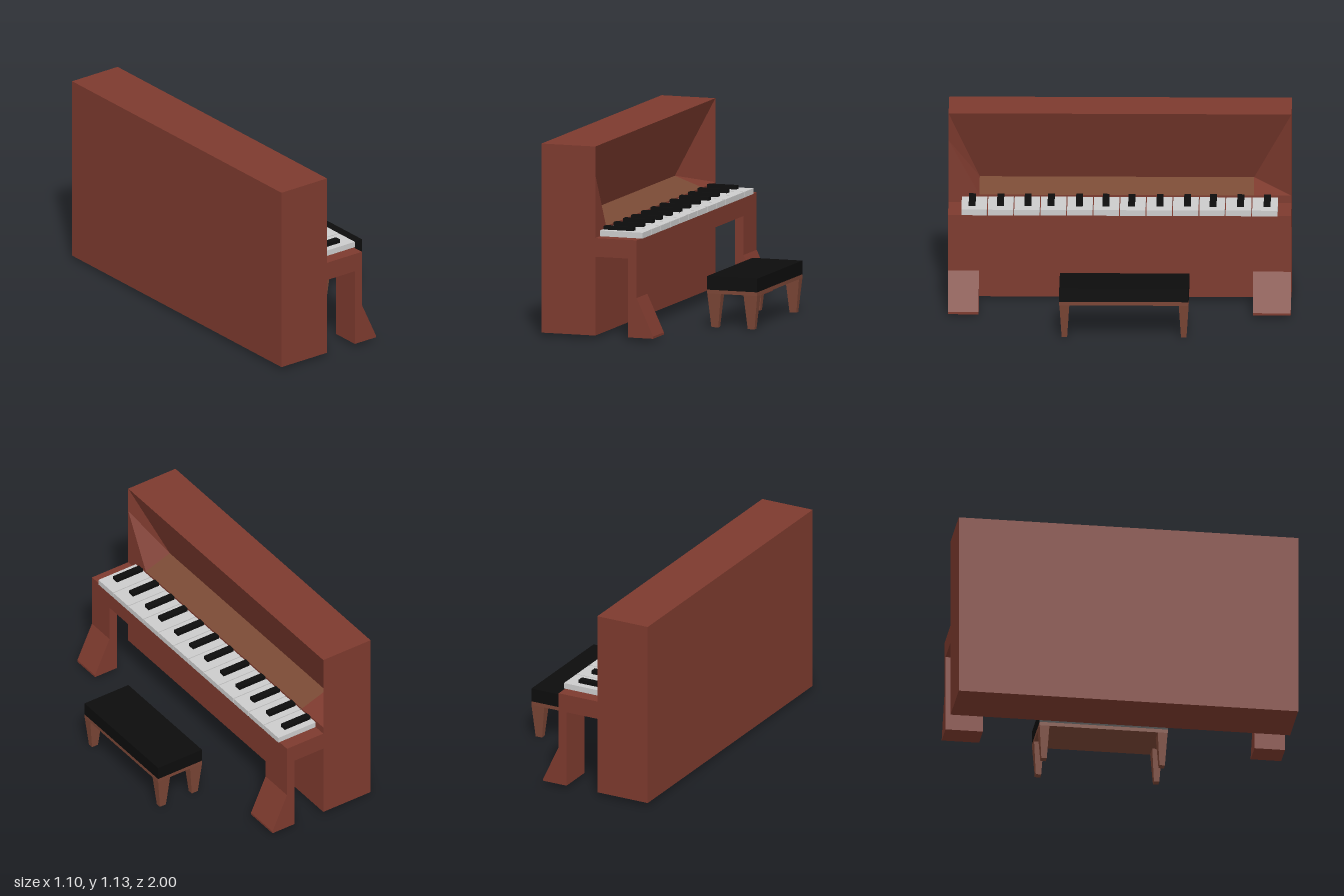
import * as THREE from 'three';

const mat = (color) => new THREE.MeshStandardMaterial({ color, flatShading: true });
const wood = mat(0x7d3a2e), floorWood = mat(0x7a4a35), benchWood = mat(0x7a4535);
const black = mat(0x0c0c0c), ivory = mat(0xcccccc);

function add(parent, name, geometry, material) {
  const m = new THREE.Mesh(geometry, material);
  m.name = name;
  parent.add(m);
  return m;
}

// box given by its extents on each axis
function box(parent, name, [x0, x1], [y0, y1], [z0, z1], material) {
  const m = add(parent, name, new THREE.BoxGeometry(x1 - x0, y1 - y0, z1 - z0), material);
  m.position.set((x0 + x1) / 2, (y0 + y1) / 2, (z0 + z1) / 2);
  return m;
}

// flat polygons, each a counter-clockwise loop of [x, y, z] corners
function faces(polygons) {
  const pos = [];
  for (const p of polygons)
    for (let i = 1; i < p.length - 1; i++) pos.push(...p[0], ...p[i], ...p[i + 1]);
  const g = new THREE.BufferGeometry();
  g.setAttribute('position', new THREE.Float32BufferAttribute(pos, 3));
  g.computeVertexNormals();
  return g;
}

// profile in x/y, extruded between two z values
function profile(points, z0, z1) {
  const shape = new THREE.Shape(points.map(([x, y]) => new THREE.Vector2(x, y)));
  return new THREE.ExtrudeGeometry(shape, { depth: z1 - z0, bevelEnabled: false }).translate(0, 0, z0);
}

const BACK = -0.55, FRONT = -0.215, DEEP = -0.385;
const BASE = 0.02, TOP = 1.135, SILL = 0.64, FOLD = 0.7, CHEEK = 0.97;
const INNER_L = 0.82, INNER_R = -0.78;

function buildCabinet(piano) {
  const F = (y, z) => [FRONT, y, z], B = (y, z) => [BACK, y, z], D = (z) => [DEEP, FOLD, z];
  add(piano, 'cabinet', faces([
    [B(BASE, -1), B(BASE, 1), B(TOP, 1), B(TOP, -1)],
    [B(TOP, 1), F(TOP, 1), F(TOP, -1), B(TOP, -1)],
    [B(BASE, -1), F(BASE, -1), F(BASE, 1), B(BASE, 1)],
    [B(BASE, 1), F(BASE, 1), F(TOP, 1), B(TOP, 1)],
    [F(BASE, -1), B(BASE, -1), B(TOP, -1), F(TOP, -1)],
    [F(BASE, 1), F(BASE, -1), F(SILL, -1), F(SILL, 1)],
  ]), wood);

  // overhanging panel sloping back to the fold, with its two corners
  add(piano, 'upperPanel', faces([
    [D(INNER_L), D(INNER_R), F(TOP, INNER_R), F(TOP, INNER_L)],
    [D(INNER_L), F(TOP, INNER_L), F(TOP, 1)],
    [D(INNER_L), F(TOP, 1), F(CHEEK, 1)],
    [D(INNER_R), F(TOP, -1), F(TOP, INNER_R)],
    [D(INNER_R), F(CHEEK, -1), F(TOP, -1)],
  ]), wood);

  // slanted cheeks beside the keyboard
  add(piano, 'cheeks', faces([
    [F(CHEEK, 1), F(SILL, INNER_L), D(INNER_L)],
    [F(CHEEK, 1), F(SILL, 1), F(SILL, INNER_L)],
    [F(CHEEK, -1), D(INNER_R), F(SILL, -1)],
    [D(INNER_R), F(SILL, INNER_R), F(SILL, -1)],
  ]), wood);

  // ledge rising behind the keys
  add(piano, 'keyLedge', faces([
    [F(SILL, INNER_L), F(SILL, INNER_R), D(INNER_R), D(INNER_L)],
  ]), floorWood);
}

function buildKeyboard(piano) {
  box(piano, 'keyBed', [FRONT, 0.042], [0.485, 0.595], [-1, 1], wood);
  const legShape = [[-0.01, BASE], [0.145, BASE], [0.145, 0.033], [0.042, 0.255], [0.042, 0.485], [-0.01, 0.485]];
  add(piano, 'leftLeg', profile(legShape, INNER_L, 1), wood);
  add(piano, 'rightLeg', profile(legShape, -1, INNER_R), wood);

  const sharps = [-0.86, -0.705, -0.545, -0.395, -0.235, -0.07, 0.08, 0.235, 0.4, 0.535, 0.695, 0.86];
  const pitch = 1.85 / sharps.length;
  sharps.forEach((z, i) => {
    const z0 = -0.925 + i * pitch;
    box(piano, 'whiteKey', [FRONT, 0.05], [0.595, 0.629], [z0 + 0.003, z0 + pitch - 0.003], ivory);
    box(piano, 'blackKey', [-0.208, -0.025], [0.625, 0.65], [z - 0.02, z + 0.02], black);
  });
}

function buildBench() {
  const bench = new THREE.Group();
  bench.name = 'bench';
  const xs = [0.237, 0.548], zs = [-0.41, 0.345];
  box(bench, 'cushion', xs, [0.222, 0.302], zs, black);
  box(bench, 'benchFrame', xs, [0.2, 0.222], zs, benchWood);
  // square legs narrowing to the floor
  for (const x of [0.279, 0.505])
    for (const z of [-0.381, 0.315]) {
      const g = new THREE.BoxGeometry(0.085, 0.2, 0.058);
      const p = g.attributes.position;
      for (let i = 0; i < p.count; i++)
        if (p.getY(i) < 0) p.setXYZ(i, p.getX(i) * 0.5, p.getY(i), p.getZ(i) * 0.55);
      g.computeVertexNormals();
      add(bench, 'benchLeg', g, benchWood).position.set(x, 0.1, z);
    }
  return bench;
}

export function createModel() {
  const model = new THREE.Group();
  const piano = new THREE.Group();
  piano.name = 'piano';
  buildCabinet(piano);
  buildKeyboard(piano);
  model.add(piano, buildBench());
  return model;
}
